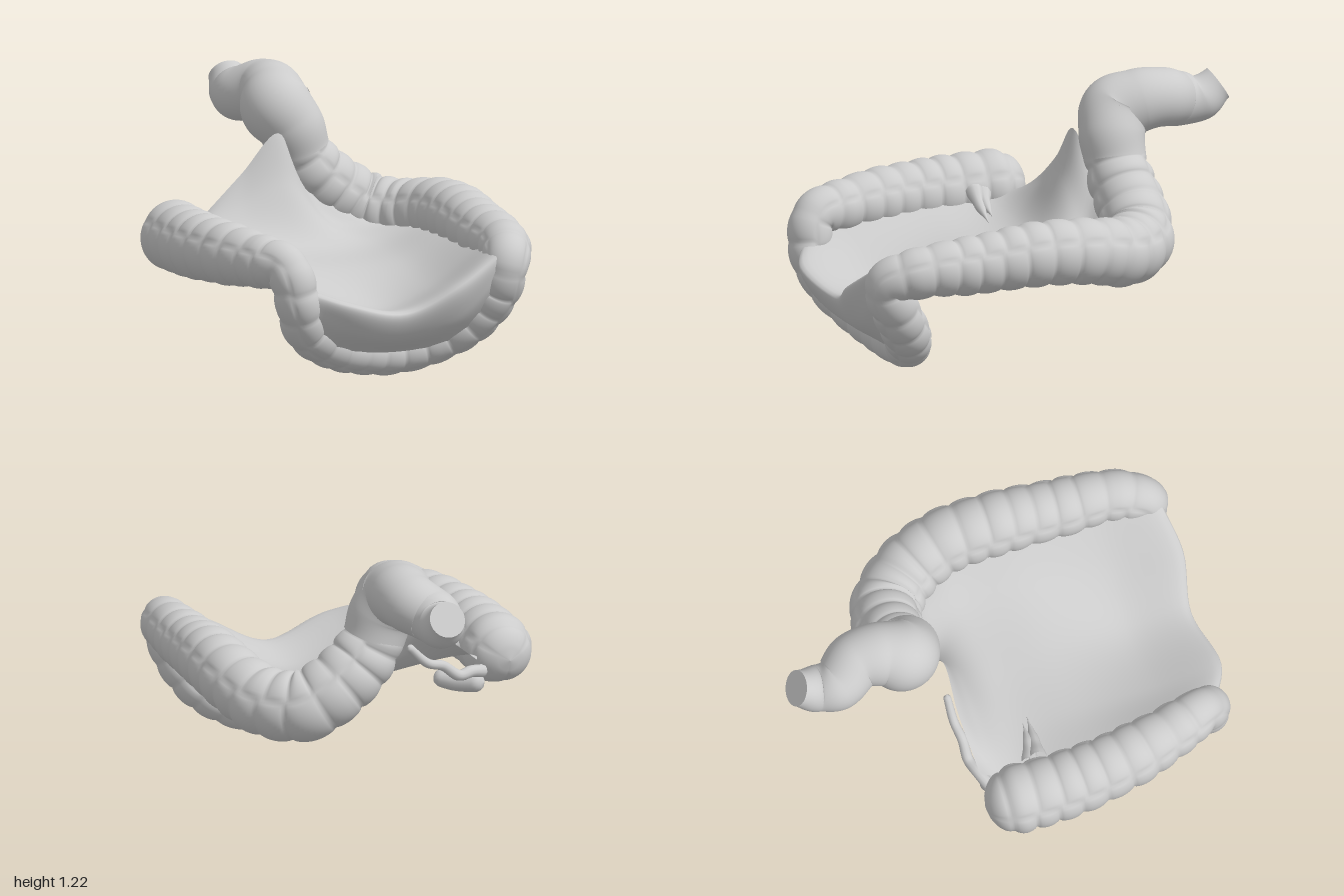
import * as THREE from 'three';

const material = new THREE.MeshStandardMaterial({ color: 0xcccccc });
const sheetMaterial = new THREE.MeshStandardMaterial({ color: 0xcccccc, side: THREE.DoubleSide });
const toVec = (p) => new THREE.Vector3(p[0], p[1], p[2]);

// Indexed grid surface; point(i, j) gives each vertex, wrap closes it around j
function gridGeometry(rows, cols, wrap, point) {
  const pos = [], index = [], n = wrap ? cols : cols + 1;
  for (let i = 0; i <= rows; i++) {
    for (let j = 0; j < n; j++) pos.push(...point(i, j).toArray());
  }
  for (let i = 0; i < rows; i++) {
    for (let j = 0; j < cols; j++) {
      const k = (j + 1) % n;
      const a = i * n + j, d = i * n + k, b = a + n, c = d + n;
      index.push(a, d, b, d, c, b);
    }
  }
  const g = new THREE.BufferGeometry();
  g.setAttribute('position', new THREE.Float32BufferAttribute(pos, 3));
  g.setIndex(index);
  g.computeVertexNormals();
  return g;
}

// Sweep along [x, y, z, radius] points; shape(s, angle) scales the radius
function sweep(points, rings, sides, { shape = () => 1, roundStart = false, roundEnd = false } = {}) {
  const curve = new THREE.CatmullRomCurve3(points.map(toVec), false, 'centripetal');
  curve.arcLengthDivisions = 1000;
  const frames = curve.computeFrenetFrames(rings, false);
  const length = curve.getLength();
  const dome = (s, r) => (s < r ? Math.sqrt(Math.max(0, 1 - (1 - s / r) ** 2)) : 1);
  const path = [];
  for (let i = 0; i <= rings; i++) {
    const t = curve.getUtoTmapping(i / rings) * (points.length - 1);
    const k = Math.min(Math.floor(t), points.length - 2);
    let r = THREE.MathUtils.lerp(points[k][3], points[k + 1][3], THREE.MathUtils.smoothstep(t - k, 0, 1));
    const s = (length * i) / rings;
    if (roundStart) r *= dome(s, r);
    if (roundEnd) r *= dome(length - s, r);
    path.push({ p: curve.getPointAt(i / rings), r, s });
  }
  return gridGeometry(rings, sides, true, (i, j) => {
    const a = (j / sides) * Math.PI * 2;
    const { p, r, s } = path[i];
    const q = r * shape(s, a);
    return p.clone()
      .addScaledVector(frames.normals[i], Math.cos(a) * q)
      .addScaledVector(frames.binormals[i], Math.sin(a) * q);
  });
}

// Pouches between three narrow lengthwise grooves
function pouches(s, a) {
  const third = (Math.PI * 2) / 3;
  const m = ((a % third) + third) % third;
  const fromBand = Math.min(m, third - m);
  if (fromBand < 0.06) return 0.95;
  const sector = Math.floor(a / third);
  const phase = (s + 0.012 * Math.sin(s * 9 + sector * 2)) / 0.112 + sector * 0.12;
  const lump = Math.pow(Math.abs(Math.sin(phase * Math.PI)), 0.5);
  const swell = Math.pow(Math.sin((fromBand / third) * Math.PI), 0.22);
  return 0.91 + 0.13 * lump * swell;
}

export function createModel() {
  const group = new THREE.Group();
  const add = (name, geometry, mat = material) => {
    const mesh = new THREE.Mesh(geometry, mat);
    mesh.name = name;
    group.add(mesh);
    return mesh;
  };

  // Pouched tube: blind end, up one side, hanging front loop, back down the other side
  add('pouchedTube', sweep([
    [-0.61, 0.55, -0.28, 0.15], [-0.62, 0.555, -0.13, 0.156], [-0.63, 0.555, 0.1, 0.152],
    [-0.605, 0.56, 0.4, 0.14], [-0.55, 0.56, 0.65, 0.12], [-0.5, 0.545, 0.8, 0.1],
    [-0.465, 0.4, 0.83, 0.1], [-0.405, 0.265, 0.785, 0.098], [-0.25, 0.16, 0.715, 0.095],
    [-0.08, 0.11, 0.675, 0.093], [0.1, 0.097, 0.66, 0.095], [0.28, 0.14, 0.685, 0.1],
    [0.43, 0.24, 0.76, 0.107], [0.51, 0.38, 0.85, 0.107], [0.535, 0.51, 0.9, 0.1],
    [0.59, 0.56, 0.77, 0.115], [0.615, 0.575, 0.5, 0.132], [0.635, 0.595, 0.2, 0.145],
    [0.635, 0.58, -0.04, 0.148], [0.575, 0.54, -0.23, 0.155], [0.45, 0.55, -0.365, 0.16],
    [0.32, 0.63, -0.405, 0.157], [0.2, 0.73, -0.405, 0.15], [0.13, 0.83, -0.4, 0.138],
    [0.1, 0.91, -0.4, 0.125],
  ], 450, 60, { shape: pouches, roundStart: true }));

  // Smooth tube with its double bend
  const smooth = [
    [0.125, 0.84, -0.4, 0.141], [0.085, 0.95, -0.402, 0.15], [0.037, 1.03, -0.445, 0.164],
    [0.06, 1.075, -0.54, 0.144], [0.065, 1.08, -0.65, 0.134], [0.005, 1.045, -0.76, 0.124],
    [0.015, 1.04, -0.86, 0.106], [0.025, 1.1, -0.95, 0.082],
  ];
  add('smoothTube', sweep(smooth, 90, 40));

  // Flat cap on the open end of the smooth tube
  const end = smooth.length - 1;
  const curve = new THREE.CatmullRomCurve3(smooth.map(toVec), false, 'centripetal');
  const cap = add('endCap', new THREE.CircleGeometry(smooth[end][3], 40));
  cap.position.copy(curve.getPoint(1));
  cap.quaternion.setFromUnitVectors(new THREE.Vector3(0, 0, 1), curve.getTangent(1));

  // Draped membrane: cross-sections from the front loop, over the rim, to the rear peak
  const sections = [
    [[-0.46, 0.33, 0.87], [-0.3, 0.19, 0.82], [0.05, 0.12, 0.755], [0.33, 0.17, 0.8], [0.48, 0.36, 0.92]],
    [[-0.46, 0.4, 0.88], [-0.28, 0.28, 0.92], [0.03, 0.21, 0.885], [0.28, 0.28, 0.93], [0.47, 0.46, 0.95]],
    [[-0.45, 0.45, 0.87], [-0.27, 0.39, 0.965], [0.03, 0.325, 0.93], [0.27, 0.44, 0.98], [0.47, 0.56, 0.95]],
    [[-0.47, 0.5, 0.65], [-0.27, 0.38, 0.64], [0.03, 0.3, 0.63], [0.27, 0.38, 0.64], [0.51, 0.55, 0.65]],
    [[-0.5, 0.53, 0.25], [-0.27, 0.45, 0.25], [0.03, 0.41, 0.25], [0.3, 0.44, 0.25], [0.52, 0.54, 0.25]],
    [[-0.5, 0.53, -0.05], [-0.27, 0.51, -0.05], [0, 0.49, -0.05], [0.3, 0.47, -0.05], [0.53, 0.53, -0.05]],
    [[-0.49, 0.56, -0.18], [-0.26, 0.64, -0.19], [-0.03, 0.72, -0.2], [0.2, 0.54, -0.22], [0.48, 0.51, -0.18]],
    [[-0.46, 0.57, -0.25], [-0.22, 0.78, -0.27], [-0.04, 0.95, -0.27], [0.1, 0.71, -0.32], [0.38, 0.52, -0.28]],
  ];
  const cols = 32, rows = 56;
  const across = sections.map((s) => new THREE.CatmullRomCurve3(s.map(toVec), false, 'centripetal'));
  const along = Array.from({ length: cols + 1 }, (_, j) =>
    new THREE.CatmullRomCurve3(across.map((c) => c.getPoint(j / cols)), false, 'centripetal'));
  add('membrane', gridGeometry(rows, cols, false, (i, j) => along[j].getPoint(i / rows)), sheetMaterial);

  // Thin worm-like tube along the membrane's rear edge
  add('thinTube', sweep([
    [-0.5, 0.5, -0.22, 0.03], [-0.43, 0.52, -0.25, 0.027], [-0.36, 0.52, -0.27, 0.025],
    [-0.28, 0.58, -0.27, 0.023], [-0.2, 0.61, -0.28, 0.021], [-0.1, 0.71, -0.28, 0.018],
  ], 50, 12, { roundEnd: true }));

  // Short blind pouch lying beside the closed end
  add('smallPouch', sweep([
    [-0.33, 0.45, -0.07, 0.04], [-0.41, 0.44, -0.15, 0.045], [-0.5, 0.45, -0.24, 0.045],
  ], 30, 16, { roundStart: true, roundEnd: true }));

  // Pointed folds where the membrane meets the side tube
  const folds = [[-0.25, 0.49, 0.05], [-0.28, 0.51, 0.02]];
  folds.forEach((tip, i) => add('fold' + (i + 1), sweep([
    [-0.48, 0.58 - i * 0.02, 0.02 - i * 0.04, 0.04],
    [-0.39, 0.54, 0.035 - i * 0.03, 0.025],
    [...tip, 0.002],
  ], 16, 10)));

  return group;
}
